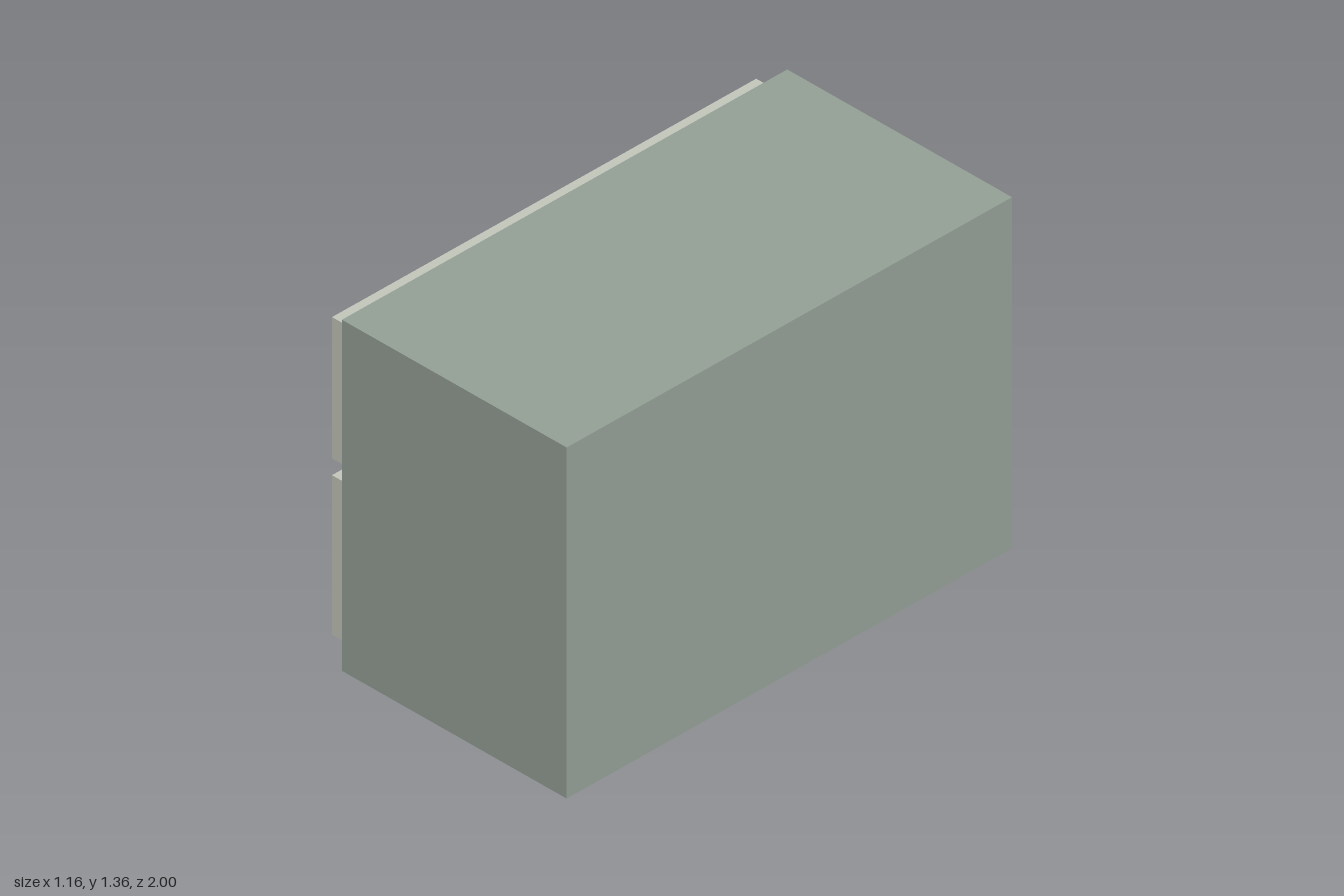
import * as THREE from 'three';

const BACK = -0.435;   // cabinet face that carries the drawers
const DEPTH = 0.095;   // drawer front thickness
const PANEL = 0.052;   // thickness of the recessed panel
const BORDER = 0.042;  // frame width

const bodyMat = new THREE.MeshStandardMaterial({ color: 0x95a197 });
bodyMat.name = 'grey green';
const drawerMat = new THREE.MeshStandardMaterial({ color: 0xc3c7bb });
drawerMat.name = 'pale grey';

function box(name, mat, x0, x1, y0, y1, z0, z1) {
  const mesh = new THREE.Mesh(new THREE.BoxGeometry(x1 - x0, y1 - y0, z1 - z0), mat);
  mesh.position.set((x0 + x1) / 2, (y0 + y1) / 2, (z0 + z1) / 2);
  mesh.name = name;
  return mesh;
}

function rectPoints(a0, a1, b0, b1) {
  return [[a0, b0], [a1, b0], [a1, b1], [a0, b1]].map(p => new THREE.Vector2(...p));
}

// Raised rectangular frame with a recessed panel, facing -x
function drawerFront(y0, y1, z0, z1) {
  const group = new THREE.Group();
  group.name = 'drawerFront';
  const shape = new THREE.Shape(rectPoints(z0, z1, y0, y1));
  shape.holes.push(new THREE.Path(
    rectPoints(z0 + BORDER, z1 - BORDER, y0 + BORDER, y1 - BORDER)));
  const frame = new THREE.Mesh(
    new THREE.ExtrudeGeometry(shape, { depth: DEPTH, bevelEnabled: false }), drawerMat);
  frame.rotation.y = -Math.PI / 2;
  frame.position.x = BACK;
  frame.name = 'drawerFrame';
  group.add(frame, box('drawerPanel', drawerMat, BACK - PANEL, BACK,
    y0 + BORDER, y1 - BORDER, z0 + BORDER, z1 - BORDER));
  return group;
}

// U-shaped pull: a bar on two square feet standing on the panel
function handle(y0, y1, z0, z1) {
  const foot = 0.105, base = 0.487, inner = 0.54, outer = 0.58;
  const shape = new THREE.Shape([
    [z0, base], [z0 + foot, base], [z0 + foot, inner], [z1 - foot, inner],
    [z1 - foot, base], [z1, base], [z1, outer], [z0, outer],
  ].map(p => new THREE.Vector2(...p)));
  const geo = new THREE.ExtrudeGeometry(shape, { depth: y1 - y0, bevelEnabled: false });
  // profile runs along z and out to -x, extruded downwards
  geo.applyMatrix4(new THREE.Matrix4().makeBasis(
    new THREE.Vector3(0, 0, 1), new THREE.Vector3(-1, 0, 0), new THREE.Vector3(0, -1, 0)));
  geo.translate(0, y1, 0);
  const mesh = new THREE.Mesh(geo, bodyMat);
  mesh.name = 'handle';
  return mesh;
}

export function createModel() {
  const model = new THREE.Group();
  model.name = 'drawerCabinet';
  model.add(box('cabinetBody', bodyMat, BACK, 0.58, 0, 1.355, -1, 1));

  // one wide drawer above two smaller ones: [y0, y1, z0, z1] of front, then of handle
  const drawers = [
    ['wideDrawer', [0.75, 1.295, -0.955, 0.95], [1.06, 1.157, -0.305, 0.283]],
    ['lowerRightDrawer', [0.07, 0.685, -0.955, -0.05], [0.365, 0.461, -0.79, -0.21]],
    ['lowerLeftDrawer', [0.07, 0.685, 0.0, 0.95], [0.365, 0.461, 0.175, 0.812]],
  ];
  for (const [name, front, pull] of drawers) {
    const drawer = new THREE.Group();
    drawer.name = name;
    drawer.add(drawerFront(...front), handle(...pull));
    model.add(drawer);
  }
  return model;
}
